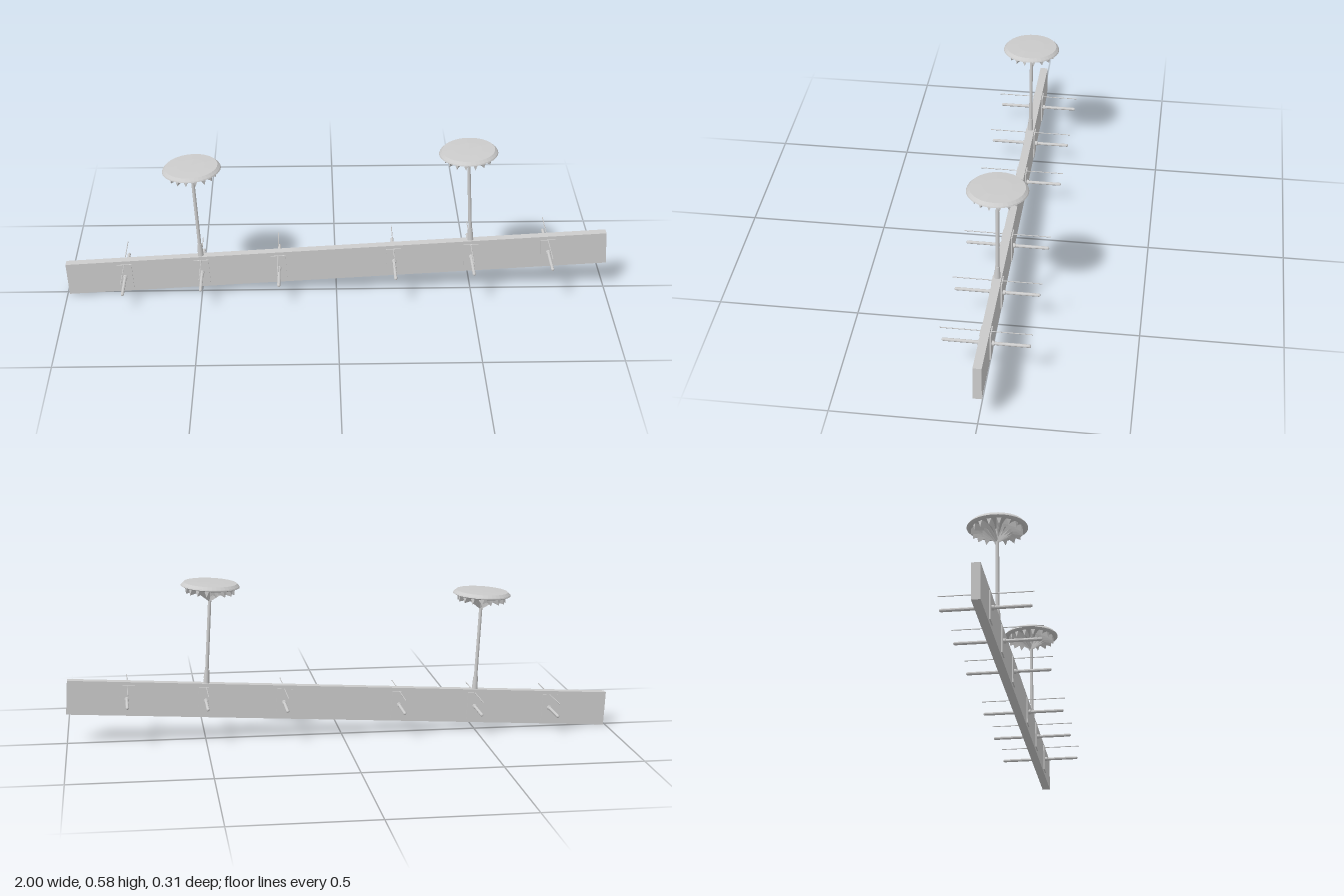
import * as THREE from 'three';

const mat = new THREE.MeshStandardMaterial({ color: 0xcccccc });
const flatMat = new THREE.MeshStandardMaterial({ color: 0xcccccc, flatShading: true, side: THREE.DoubleSide });

function add(parent, name, geometry, x = 0, y = 0, z = 0, material = mat) {
  const mesh = new THREE.Mesh(geometry, material);
  mesh.name = name;
  mesh.position.set(x, y, z);
  parent.add(mesh);
  return mesh;
}

// Tapered rib with a V section: thin at the mast, broad at the rim
function ribGeometry() {
  // radius, keel height, top height, half width
  const sections = [
    [0.004, 0.365, 0.380, 0.002],
    [0.052, 0.399, 0.413, 0.006],
    [0.088, 0.393, 0.418, 0.009],
  ];
  const pos = [], index = [];
  for (const [r, keel, top, w] of sections) pos.push(r, keel, 0, r, top, w, r, top, -w);
  for (let i = 0; i < sections.length - 1; i++) {
    for (let j = 0; j < 3; j++) {
      const a = i * 3 + j, b = i * 3 + (j + 1) % 3;
      index.push(a, b, a + 3, b, b + 3, a + 3);
    }
  }
  index.push(0, 2, 1, 6, 7, 8);
  const g = new THREE.BufferGeometry();
  g.setAttribute('position', new THREE.Float32BufferAttribute(pos, 3));
  g.setIndex(index);
  g.computeVertexNormals();
  return g;
}

// Plates, padded pegs and thin rods on both faces of the beam
function createBracket(u) {
  const bracket = new THREE.Group();
  bracket.name = 'bracket';
  bracket.position.x = u;
  const pegProfile = [[0.0085, 0.018], [0.0085, 0.028], [0.0058, 0.029], [0.0058, 0.145], [0.0045, 0.149], [0, 0.151]]
    .map(([r, h]) => new THREE.Vector2(r, h));
  for (const side of [1, -1]) {
    add(bracket, 'plate', new THREE.BoxGeometry(0.055, 0.1, 0.005), 0, 0, side * 0.0168);
    const peg = add(bracket, 'peg', new THREE.LatheGeometry(pegProfile, 16), 0, 0, 0, flatMat);
    peg.rotation.x = side * Math.PI / 2;
  }
  const rod = add(bracket, 'thinRod', new THREE.CylinderGeometry(0.0017, 0.0017, 0.313, 8), 0, 0.049, 0);
  rod.rotation.x = Math.PI / 2;
  return bracket;
}

// Mast with a flared foot, carrying a ribbed disc
function createLamp(u) {
  const lamp = new THREE.Group();
  lamp.name = 'lamp';
  lamp.position.x = u;
  add(lamp, 'mast', new THREE.CylinderGeometry(0.006, 0.0065, 0.36, 16), 0, 0.24, 0);
  add(lamp, 'mastFoot', new THREE.CylinderGeometry(0.0085, 0.011, 0.05, 16), 0, 0.085, 0);
  const discProfile = [[0, 0.416], [0.098, 0.416], [0.106, 0.42], [0.104, 0.424], [0.095, 0.433], [0.05, 0.435], [0, 0.4355]]
    .map(([r, h]) => new THREE.Vector2(r, h));
  add(lamp, 'disc', new THREE.LatheGeometry(discProfile, 40), 0, 0, 0, flatMat);
  const count = 16;
  for (let i = 0; i < count; i++) {
    add(lamp, 'rib', ribGeometry(), 0, 0, 0, flatMat).rotation.y = (i + 0.5) / count * Math.PI * 2;
  }
  return lamp;
}

export function createModel() {
  const model = new THREE.Group();
  model.name = 'slopingBeamWithLamps';

  // Everything is built square to the beam, then tilted as one
  const tilted = new THREE.Group();
  tilted.name = 'tiltedAssembly';
  tilted.position.y = 0.1183;
  tilted.rotation.z = 0.056;
  model.add(tilted);

  add(tilted, 'beam', new THREE.BoxGeometry(1.996, 0.125, 0.03));
  for (const centre of [-0.498, 0.498]) {
    for (const step of [-0.285, 0, 0.285]) tilted.add(createBracket(centre + step));
    tilted.add(createLamp(centre));
  }
  return model;
}
